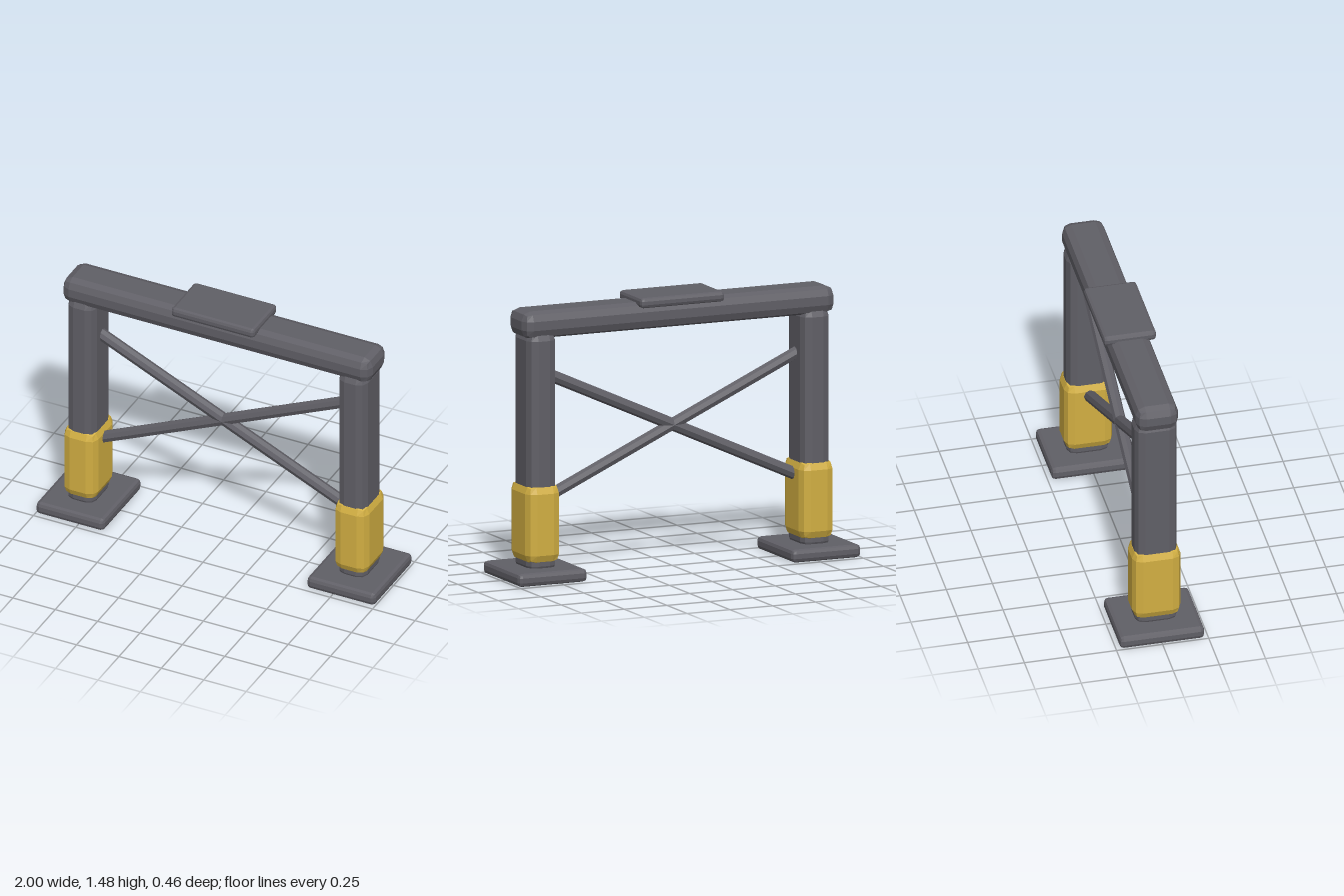
import * as THREE from 'three';
import { RoundedBoxGeometry } from 'three/addons/geometries/RoundedBoxGeometry.js';

const steel = new THREE.MeshStandardMaterial({ color: 0x605f66 });
steel.name = 'darkSteel';
const yellow = new THREE.MeshStandardMaterial({ color: 0xd2af42 });
yellow.name = 'safetyYellow';

// Box with two-step bevels and faceted normals
function bevelBox(name, material, w, h, d, bevel, x, y, z = 0) {
  const geometry = new RoundedBoxGeometry(w, h, d, 1, bevel);
  geometry.computeVertexNormals();
  const mesh = new THREE.Mesh(geometry, material);
  mesh.name = name;
  mesh.position.set(x, y, z);
  return mesh;
}

// Faceted rod between two points
function rod(name, from, to, radius) {
  const geometry = new THREE.CylinderGeometry(radius, radius, from.distanceTo(to), 8).toNonIndexed();
  geometry.computeVertexNormals();
  const mesh = new THREE.Mesh(geometry, steel);
  mesh.name = name;
  mesh.position.copy(from).add(to).multiplyScalar(0.5);
  const direction = to.clone().sub(from).normalize();
  mesh.quaternion.setFromUnitVectors(new THREE.Vector3(0, 1, 0), direction);
  return mesh;
}

export function createModel() {
  const model = new THREE.Group();
  model.name = 'supportFrame';

  // Two legs, each with a foot plate and a yellow sleeve
  for (const [side, s] of [['left', 1], ['right', -1]]) {
    const leg = new THREE.Group();
    leg.name = side + 'Leg';
    leg.add(
      bevelBox('footPlate', steel, 0.402, 0.07, 0.46, 0.022, s * 0.799, 0.035),
      bevelBox('post', steel, 0.166, 1.31, 0.23, 0.05, s * 0.799, 0.685),
      bevelBox('sleeve', yellow, 0.196, 0.43, 0.262, 0.05, s * 0.799, 0.305)
    );
    model.add(leg);

    // Diagonal brace, crossing its twin at the middle
    model.add(rod(side + 'Brace',
      new THREE.Vector3(-s * 0.74, 0.425, 0),
      new THREE.Vector3(s * 0.74, 1.095, 0), 0.033));
  }

  // Crossbeam and the plate on top of it
  model.add(bevelBox('crossbeam', steel, 1.82, 0.148, 0.23, 0.05, 0, 1.374));
  model.add(bevelBox('topPlate', steel, 0.49, 0.055, 0.286, 0.018, 0, 1.451));

  return model;
}
